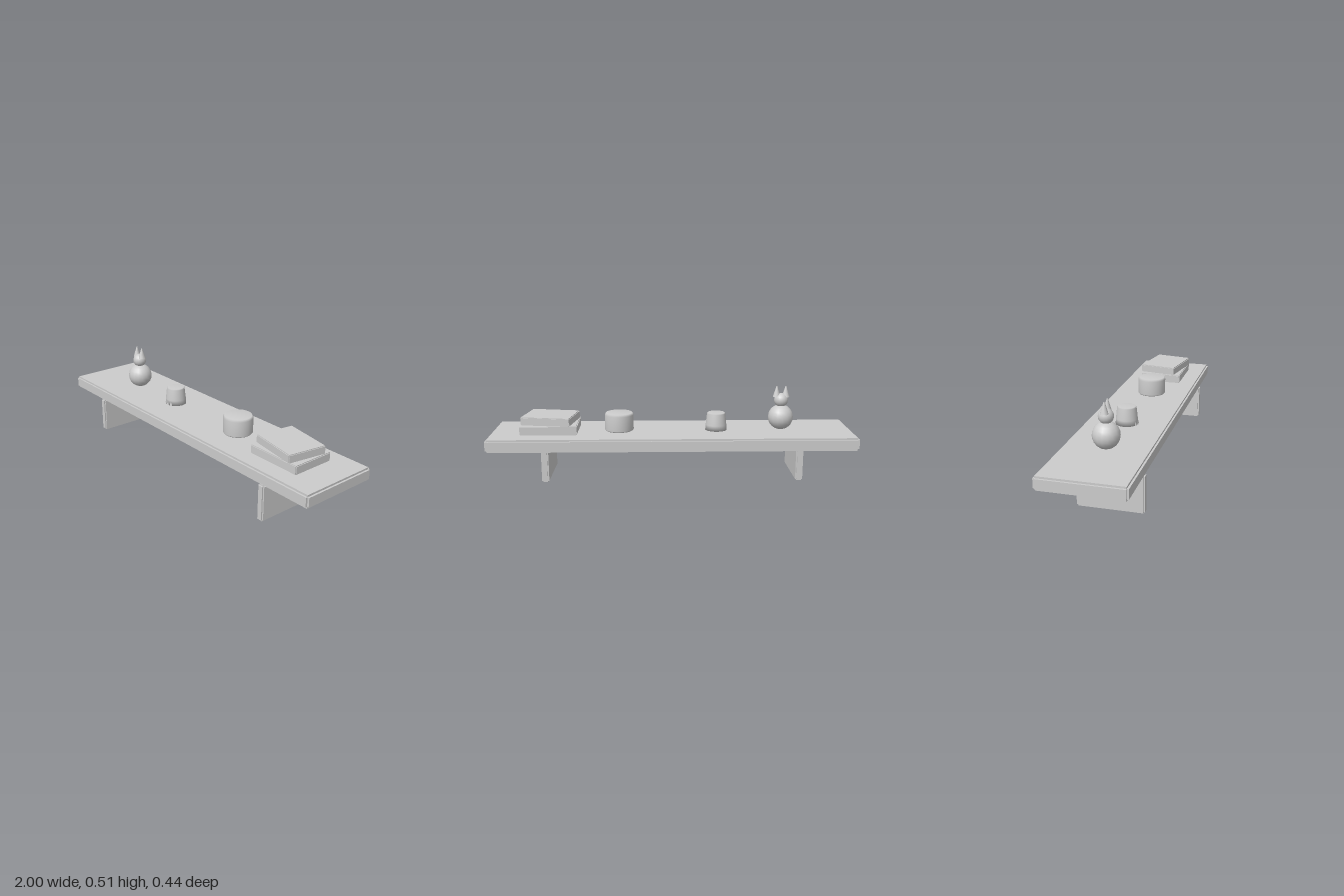
import * as THREE from 'three';

export function createModel() {
  const model = new THREE.Group();
  model.name = 'shelf';
  const grey = new THREE.MeshStandardMaterial({ color: 0xcccccc });
  grey.name = 'light grey';

  const add = (parent, name, geometry, x = 0, y = 0, z = 0) => {
    const mesh = new THREE.Mesh(geometry, grey);
    mesh.name = name;
    mesh.position.set(x, y, z);
    parent.add(mesh);
    return mesh;
  };

  // Block with stepped edges: three boxes, each reaching full size along one axis
  const steppedBlock = (name, size, step, x, y, z) => {
    const group = new THREE.Group();
    group.name = name;
    group.position.set(x, y, z);
    for (let axis = 0; axis < 3; axis++) {
      const s = size.map((v, i) => (i === axis ? v : v - 2 * step));
      add(group, name + 'Core', new THREE.BoxGeometry(...s));
    }
    model.add(group);
    return group;
  };

  // Board and its two brackets
  steppedBlock('board', [2, 0.07, 0.442], 0.01, 0, 0.232, 0);
  for (const side of [-1, 1]) {
    steppedBlock(side > 0 ? 'leftBracket' : 'rightBracket',
      [0.04, 0.198, 0.34], 0.007, side * 0.7, 0.099, 0.05);
  }

  // Two stacked books, the upper one turned
  steppedBlock('lowerBook', [0.31, 0.048, 0.24], 0.004, 0.675, 0.291, 0);
  steppedBlock('upperBook', [0.274, 0.045, 0.217], 0.004, 0.675, 0.338, 0)
    .rotation.y = -0.17;

  // Turned vessels
  const turned = (name, profile, x) => add(model, name,
    new THREE.LatheGeometry(profile.map(p => new THREE.Vector2(...p)), 32), x, 0.267, 0);
  turned('jar', [[0, 0], [0.074, 0], [0.08, 0.007], [0.08, 0.088],
    [0.073, 0.1], [0, 0.1]], 0.295);
  turned('cup', [[0, 0], [0.06, 0], [0.058, 0.03], [0.051, 0.092],
    [0.047, 0.097], [0, 0.097]], -0.245);

  // Small pointed ornaments at the foot of the cup front
  for (const i of [-1, 0, 1]) {
    const a = i * 0.4;
    add(model, 'cupPoint', new THREE.ConeGeometry(0.012, 0.04, 6),
      -0.245 + 0.053 * Math.sin(a), 0.287, 0.053 * Math.cos(a));
  }

  // Animal figurine
  const figurine = new THREE.Group();
  figurine.name = 'figurine';
  figurine.position.x = -0.605;
  model.add(figurine);
  add(figurine, 'body', new THREE.SphereGeometry(0.07, 16, 12), 0, 0.337, 0);
  add(figurine, 'head', new THREE.SphereGeometry(0.039, 16, 12), 0, 0.433, 0);
  for (const side of [-1, 1]) {
    add(figurine, side > 0 ? 'leftEar' : 'rightEar',
      new THREE.CylinderGeometry(0.003, 0.022, 0.06, 10), side * 0.025, 0.481, 0);
  }
  return model;
}
